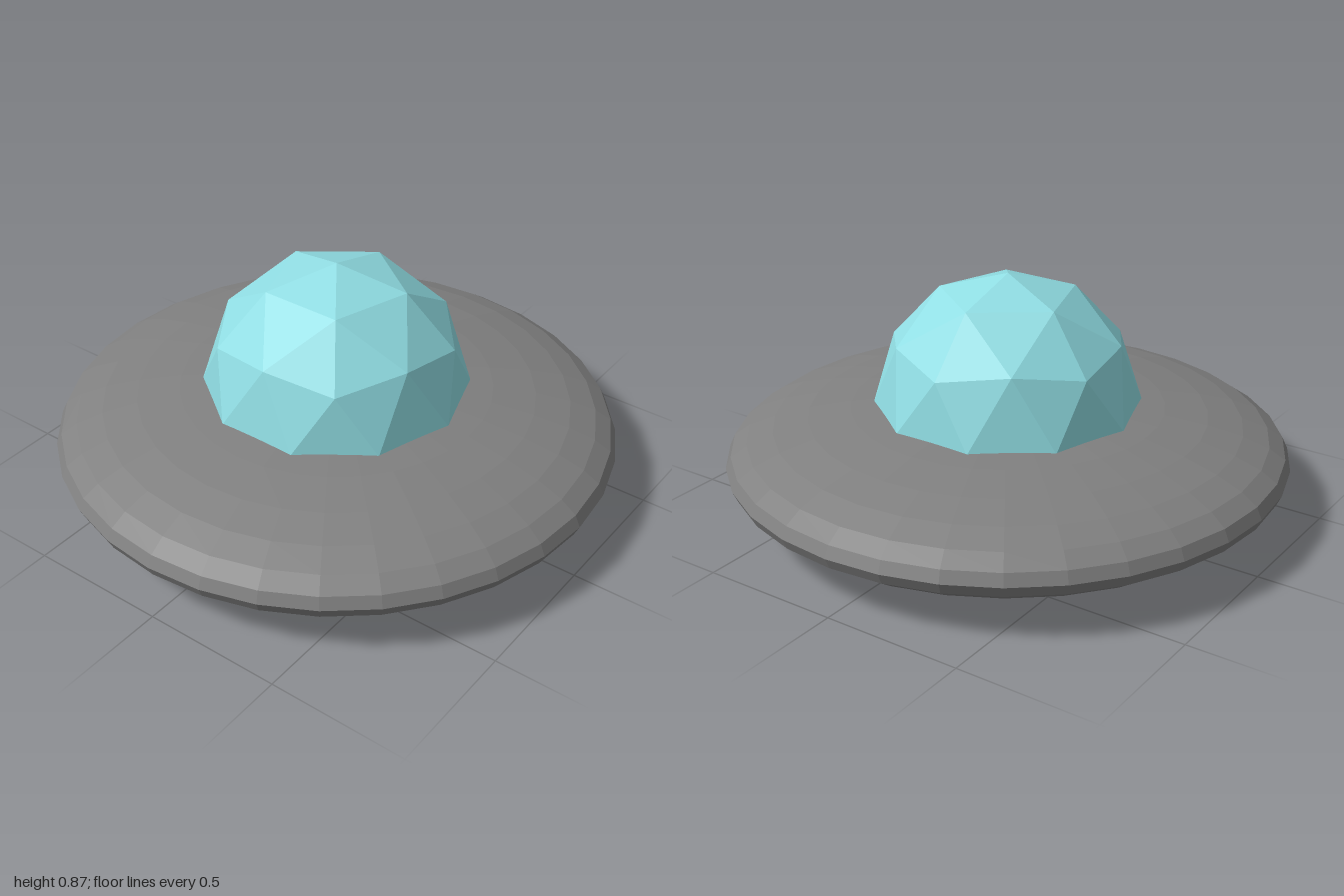
import * as THREE from 'three';

// Upper half of a once-subdivided icosahedron, one corner pointing straight up
function halfIcosphere(radius) {
  const full = new THREE.IcosahedronGeometry(radius, 1);
  full.rotateZ(Math.atan(2 / (1 + Math.sqrt(5))));
  full.rotateY(Math.PI);
  const p = full.attributes.position;
  const kept = [];
  for (let i = 0; i < p.count; i += 3) {
    if (p.getY(i) + p.getY(i + 1) + p.getY(i + 2) < 0.01) continue;
    for (let k = i; k < i + 3; k++) kept.push(p.getX(k), p.getY(k), p.getZ(k));
  }
  const geometry = new THREE.BufferGeometry();
  geometry.setAttribute('position', new THREE.Float32BufferAttribute(kept, 3));
  geometry.computeVertexNormals();
  return geometry;
}

export function createModel() {
  const model = new THREE.Group();
  model.name = 'flyingSaucer';

  // Saucer hull: flattened faceted sphere
  const hullGeometry = new THREE.SphereGeometry(1, 32, 16);
  hullGeometry.scale(1, 0.21, 1);
  const hull = new THREE.Mesh(
    hullGeometry,
    new THREE.MeshStandardMaterial({ color: 0x808080, flatShading: true })
  );
  hull.name = 'hull';
  hull.position.y = 0.21;
  model.add(hull);

  // Cockpit dome: open at the base, seated in the hull
  const dome = new THREE.Mesh(
    halfIcosphere(0.475),
    new THREE.MeshStandardMaterial({ color: 0x90dde3, flatShading: true, side: THREE.DoubleSide })
  );
  dome.name = 'dome';
  dome.position.y = 0.39;
  model.add(dome);

  return model;
}
